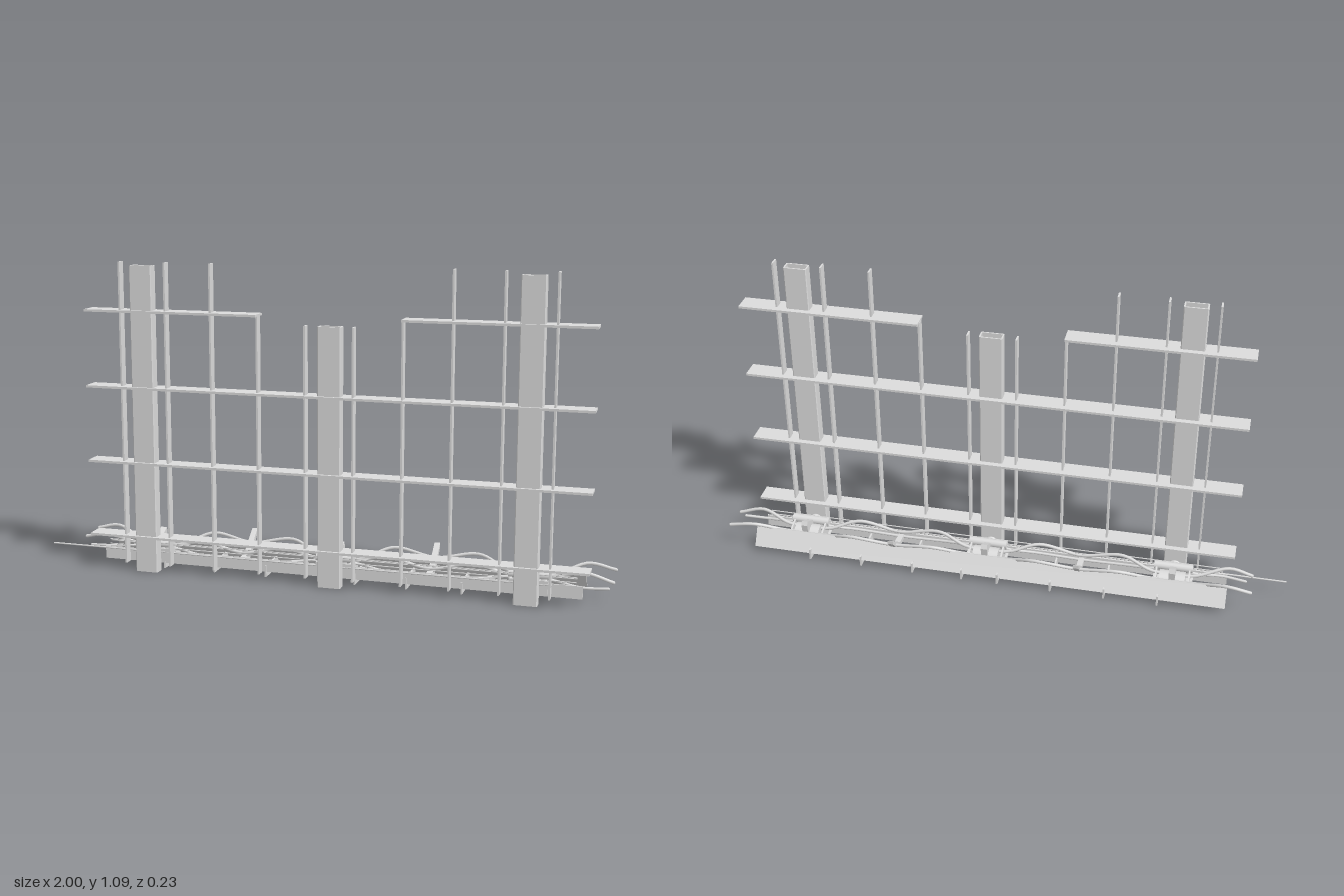
import * as THREE from 'three';

const steel = new THREE.MeshStandardMaterial({ color: 0xdcdcdc });
steel.name = 'galvanised grey';

function add(group, name, geometry) {
  const mesh = new THREE.Mesh(geometry, steel);
  mesh.name = name;
  group.add(mesh);
  return mesh;
}

// Box given by its limits on each axis
function slab(group, name, x0, x1, y0, y1, z0, z1) {
  const m = add(group, name, new THREE.BoxGeometry(x1 - x0, y1 - y0, z1 - z0));
  m.position.set((x0 + x1) / 2, (y0 + y1) / 2, (z0 + z1) / 2);
}

// Side profile of [z, y] points extruded along x, centred on x
function sidePlate(group, name, points, x, width) {
  const shape = new THREE.Shape(points.map(([z, y]) => new THREE.Vector2(-z, y)));
  const g = new THREE.ExtrudeGeometry(shape, { depth: width, bevelEnabled: false });
  g.translate(0, 0, -width / 2).rotateY(Math.PI / 2);
  add(group, name, g).position.x = x;
}

// Round bar between x limits, along x
function rod(group, name, x0, x1, y, z, r, sides = 8) {
  const g = new THREE.CylinderGeometry(r, r, x1 - x0, sides).rotateZ(Math.PI / 2);
  add(group, name, g).position.set((x0 + x1) / 2, y, z);
}

function wavyBar(group, name, points, r) {
  const curve = new THREE.CatmullRomCurve3(points.map(p => new THREE.Vector3(...p)));
  add(group, name, new THREE.TubeGeometry(curve, 120, r, 8));
  for (const t of [0, 1]) {
    add(group, name + 'End', new THREE.SphereGeometry(r, 8, 6)).position.copy(curve.getPoint(t));
  }
}

const postXs = [-0.608, 0.057, 0.722];

function makePosts(group) {
  // Hollow section with softened corners, seen from above
  const section = new THREE.Shape([
    [-0.037, -0.105], [0.037, -0.105], [0.04, -0.102], [0.04, -0.069], [0.037, -0.066],
    [-0.037, -0.066], [-0.04, -0.069], [-0.04, -0.102],
  ].map(p => new THREE.Vector2(...p)));
  section.holes.push(new THREE.Path([
    [-0.035, -0.1], [-0.035, -0.071], [0.035, -0.071], [0.035, -0.1],
  ].map(p => new THREE.Vector2(...p))));
  postXs.forEach((x, i) => {
    const height = i === 1 ? 0.888 : 1.073;
    const g = new THREE.ExtrudeGeometry(section, { depth: height, bevelEnabled: false });
    g.rotateX(-Math.PI / 2);
    add(group, 'post', g).position.set(x, 0.005, 0);
  });
}

function makeGrille(group) {
  // Upright flat bars: x and top height
  const uprights = [
    [-0.688, 1.09], [-0.523, 1.09], [-0.36, 1.09], [-0.195, 0.92], [-0.029, 0.893],
    [0.137, 0.893], [0.303, 0.92], [0.467, 1.09], [0.633, 1.09], [0.799, 1.09],
  ];
  for (const [x, top] of uprights) slab(group, 'uprightBar', x - 0.003, x + 0.003, 0.03, top, 0.068, 0.1);

  // Level flat bars, the top row broken over the middle
  for (const y of [0.13, 0.394, 0.658]) slab(group, 'levelBar', -0.815, 0.927, y - 0.004, y + 0.004, 0.047, 0.115);
  for (const [x0, x1] of [[-0.815, -0.193], [0.301, 0.927]]) {
    slab(group, 'topLevelBar', x0, x1, 0.918, 0.926, 0.047, 0.115);
  }
}

function makeBase(group) {
  // Tilted rear board and upright front board
  sidePlate(group, 'rearBoard', [[-0.06, 0.085], [-0.069, 0.09], [-0.108, 0.027], [-0.099, 0.021]], 0.05, 1.7);
  slab(group, 'frontBoard', -0.795, 0.9, 0.022, 0.066, 0.032, 0.037);
  slab(group, 'lowerRail', -0.65, 0.72, 0.007, 0.016, -0.062, -0.056);

  // Thin cross plates under the boards
  for (const x of [-0.567, -0.38, -0.19, 0, 0.13, 0.31, 0.5, 0.69]) {
    slab(group, 'crossPlate', x - 0.003, x + 0.003, 0.004, 0.044, -0.112, 0.04);
  }

  // Raised arms between the posts
  for (const x of [-0.28, 0.385]) {
    sidePlate(group, 'arm', [[0.03, 0.045], [-0.03, 0.05], [-0.07, 0.075], [-0.112, 0.12],
      [-0.112, 0.133], [-0.065, 0.098], [-0.025, 0.066], [0.03, 0.06]], x, 0.02);
  }

  // Straight wires
  rod(group, 'longWire', -1, 0.8, 0.062, 0.04, 0.003);
  for (const [y, z] of [[0.075, 0.03], [0.085, 0.02], [0.092, 0.03]]) rod(group, 'wire', -0.78, 0.88, y, z, 0.002, 6);
}

function makeBrackets(group) {
  for (const x of postXs) {
    const bracket = new THREE.Group();
    bracket.name = 'bracket';
    bracket.position.x = x;
    group.add(bracket);
    rod(bracket, 'hub', -0.045, 0.045, 0.05, -0.022, 0.037, 20);
    rod(bracket, 'pin', -0.068, 0.068, 0.085, 0.015, 0.015, 12);
    slab(bracket, 'footPlate', -0.07, 0.07, 0.03, 0.036, -0.06, 0.03);
    sidePlate(bracket, 'wedge', [[0.03, 0.04], [0.03, 0.078], [-0.055, 0.127], [-0.062, 0.112], [-0.05, 0.045]], 0, 0.022);
    for (const side of [-1, 1]) {
      sidePlate(bracket, 'cheek', [[0.035, 0.035], [0.035, 0.075], [0, 0.088], [-0.06, 0.07], [-0.06, 0.04]], side * 0.058, 0.006);
    }
    // Boss joining the post
    const profile = [[0, 0], [0.026, 0], [0.026, 0.012], [0.02, 0.016], [0.02, 0.034], [0.024, 0.036], [0.024, 0.042], [0, 0.042]];
    const boss = new THREE.LatheGeometry(profile.map(p => new THREE.Vector2(...p)), 16);
    add(bracket, 'boss', boss.rotateX(Math.PI / 2)).position.set(0, 0.052, 0.025);
    slab(bracket, 'postClamp', -0.065, 0.065, 0.03, 0.075, 0.035, 0.042);
  }
}

function makeWavyBars(group) {
  // Each bar bends inward at the posts and bows out between them
  const front = [[-0.88, 0.09, 0.014], [-0.8, 0.105, 0.018]];
  const frontLow = [[-0.86, 0.06, 0.015], [-0.78, 0.065, 0.022]];
  const rear = [[-0.88, 0.095, -0.088], [-0.8, 0.11, -0.09]];
  for (const x of postXs) {
    front.push([x - 0.08, 0.075, -0.008], [x, 0.07, -0.012], [x + 0.08, 0.075, -0.008], [x + 0.18, 0.105, 0.014]);
    frontLow.push([x - 0.08, 0.07, 0.01], [x, 0.08, 0.012], [x + 0.08, 0.07, 0.01], [x + 0.17, 0.058, 0.024]);
    rear.push([x - 0.08, 0.073, -0.05], [x, 0.066, -0.04], [x + 0.08, 0.073, -0.05], [x + 0.18, 0.11, -0.087]);
    if (x < 0.7) {
      front.push([x + 0.33, 0.078, 0.02], [x + 0.48, 0.105, 0.016]);
      frontLow.push([x + 0.33, 0.054, 0.026], [x + 0.49, 0.06, 0.024]);
      rear.push([x + 0.33, 0.09, -0.075], [x + 0.48, 0.11, -0.088]);
    }
  }
  front.push([0.995, 0.08, 0.012]);
  frontLow.push([0.98, 0.06, 0.02]);
  rear.push([0.995, 0.095, -0.088]);
  wavyBar(group, 'frontWavyBar', front, 0.006);
  wavyBar(group, 'lowWavyBar', frontLow, 0.005);
  wavyBar(group, 'rearWavyBar', rear, 0.006);
}

export function createModel() {
  const model = new THREE.Group();
  model.name = 'grille';
  for (const [name, make] of [['posts', makePosts], ['bars', makeGrille], ['base', makeBase],
    ['brackets', makeBrackets], ['wavyBars', makeWavyBars]]) {
    const part = new THREE.Group();
    part.name = name;
    make(part);
    model.add(part);
  }
  return model;
}
